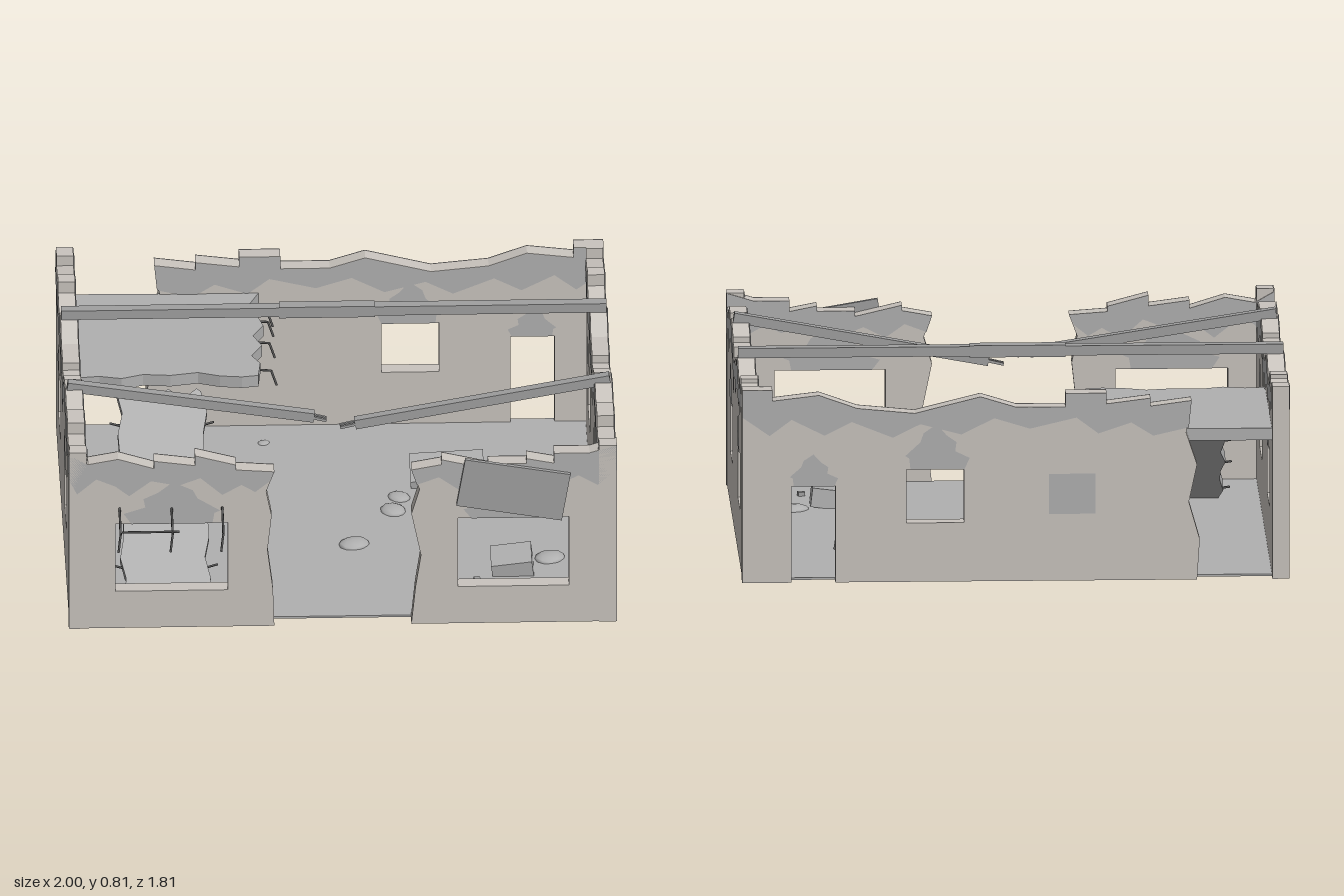
import * as THREE from 'three';

const mat = (name, color, side = THREE.FrontSide) => {
  const m = new THREE.MeshStandardMaterial({ color, side });
  m.name = name;
  return m;
};

export function createModel() {
  const root = new THREE.Group();
  root.name = 'ruinedHouse';
  const plaster = mat('plaster', 0xc9c4be);
  const bare = mat('bareConcrete', 0xb0b0b0, THREE.DoubleSide);
  const concrete = mat('concrete', 0xb0b0b0);
  const timber = mat('beamGrey', 0xa0a0a0);
  const iron = mat('iron', 0x5c5c5c);

  const add = (name, geo, material, parent = root) => {
    const m = new THREE.Mesh(geo, material);
    m.name = name;
    parent.add(m);
    return m;
  };
  const shapeOf = pts => new THREE.Shape(pts.map(p => new THREE.Vector2(p[0], p[1])));
  const rect = (a, b, c, d) => [[a, b], [c, b], [c, d], [a, d]];
  const box = (name, size, pos, material, rot = [0, 0, 0]) => {
    const m = add(name, new THREE.BoxGeometry(...size), material);
    m.position.set(...pos);
    m.rotation.set(...rot);
    return m;
  };

  // Straight bar between two points, square or round
  const bar = (name, a, b, w, material, sides = 5) => {
    const p = new THREE.Vector3(...a), q = new THREE.Vector3(...b);
    const len = p.distanceTo(q);
    const geo = sides === 4 ? new THREE.BoxGeometry(w, len, w) : new THREE.CylinderGeometry(w / 2, w / 2, len, sides);
    const m = add(name, geo, material);
    m.position.copy(p).lerp(q, 0.5);
    m.quaternion.setFromUnitVectors(new THREE.Vector3(0, 1, 0), q.sub(p).normalize());
  };
  const rod = (name, pts) => {
    for (let i = 1; i < pts.length; i++) bar(name, pts[i - 1], pts[i], 0.009, iron);
  };

  // Wall: broken outline with openings, bare patches on both faces.
  // base, top and lower run in the same direction along the wall.
  const T = 0.062;
  function wall(name, { base, top, lower, holes = [], inner = [], outer = [] }, outsideAtEnd) {
    const g = new THREE.Group();
    g.name = name;
    root.add(g);
    const s = shapeOf([...base, ...[...top].reverse()]);
    holes.forEach(h => s.holes.push(new THREE.Path(rect(...h).map(p => new THREE.Vector2(p[0], p[1])))));
    add(name + 'Body', new THREE.ExtrudeGeometry(s, { depth: T, bevelEnabled: false }), plaster, g);
    const band = [...lower, ...[...top].reverse()];
    for (const d of [-0.003, T + 0.003]) {
      const outside = (d > 0) === outsideAtEnd;
      for (const p of [band, ...inner, ...(outside ? outer : [])])
        add(name + 'BarePatch', new THREE.ShapeGeometry(shapeOf(p)), bare, g).position.z = d;
    }
    return g;
  }
  // Stepped bare patch rising from a lintel
  const spire = (c, w, y, h) => [
    [c - w * 0.42, y], [c + w * 0.4, y], [c + w * 0.42, y + h * 0.25], [c + w * 0.48, y + h * 0.3],
    [c + w * 0.25, y + h * 0.6], [c + w * 0.2, y + h * 0.8], [c, y + h], [c - w * 0.15, y + h * 0.75],
    [c - w * 0.3, y + h * 0.6], [c - w * 0.28, y + h * 0.4], [c - w * 0.5, y + h * 0.25]];

  // Front wall, two pieces either side of the breach
  wall('frontWallRight', {
    base: [[-1, 0.05], [-0.25, 0.05], [-0.255, 0.2], [-0.275, 0.36], [-0.26, 0.5], [-0.28, 0.6]],
    top: [[-1, 0.76], [-0.93, 0.72], [-0.82, 0.74], [-0.69, 0.70], [-0.69, 0.73], [-0.54, 0.71], [-0.54, 0.75],
      [-0.39, 0.71], [-0.39, 0.69], [-0.25, 0.68]],
    lower: [[-1, 0.66], [-0.97, 0.6], [-0.9, 0.66], [-0.83, 0.63], [-0.78, 0.59], [-0.7, 0.65], [-0.6, 0.63],
      [-0.52, 0.66], [-0.44, 0.59], [-0.37, 0.63], [-0.32, 0.6], [-0.27, 0.64]],
    holes: [[-0.83, 0.2, -0.42, 0.475]],
    inner: [spire(-0.62, 0.36, 0.475, 0.17)],
  }, true).position.set(0, 0, 0.685);
  wall('frontWallLeft', {
    base: [[0.28, 0.6], [0.25, 0.5], [0.285, 0.33], [0.265, 0.2], [0.25, 0.05], [1, 0.05]],
    top: [[0.25, 0.68], [0.36, 0.7], [0.36, 0.72], [0.53, 0.68], [0.53, 0.7], [0.67, 0.7], [0.67, 0.72], [0.77, 0.7],
      [0.77, 0.74], [0.9, 0.74], [1, 0.77]],
    lower: [[0.27, 0.62], [0.35, 0.65], [0.42, 0.6], [0.5, 0.64], [0.6, 0.6], [0.72, 0.65], [0.8, 0.62],
      [0.86, 0.65], [0.93, 0.61], [1, 0.67]],
    holes: [[0.42, 0.2, 0.825, 0.48]],
    inner: [spire(0.62, 0.36, 0.48, 0.15)],
  }, true).position.set(0, 0, 0.685);

  // Back wall with doorway, window and a broken end
  wall('backWall', {
    base: [[-0.62, 0.6], [-0.66, 0.48], [-0.63, 0.34], [-0.67, 0.2], [-0.66, 0.05], [0.66, 0.05], [0.66, 0.41],
      [0.82, 0.41], [0.82, 0.05], [1, 0.05]],
    top: [[-0.64, 0.72], [-0.49, 0.7], [-0.49, 0.73], [-0.33, 0.71], [-0.33, 0.75], [-0.18, 0.75], [-0.18, 0.7],
      [0, 0.7], [0.13, 0.74], [0.25, 0.71], [0.37, 0.68], [0.58, 0.7], [0.72, 0.75], [0.89, 0.73], [0.89, 0.77], [1, 0.77]],
    lower: [[-0.63, 0.62], [-0.5, 0.59], [-0.42, 0.64], [-0.3, 0.6], [-0.22, 0.66], [-0.05, 0.62], [0.08, 0.66],
      [0.2, 0.6], [0.35, 0.64], [0.45, 0.59], [0.6, 0.65], [0.7, 0.6], [0.82, 0.66], [0.9, 0.6], [1, 0.67]],
    holes: [[0.19, 0.27, 0.4, 0.47]],
    inner: [spire(0.29, 0.24, 0.47, 0.17), spire(0.74, 0.18, 0.41, 0.12)],
    outer: [rect(-0.29, 0.3, -0.12, 0.45)],
  }, false).position.set(0, 0, -0.902);

  // Side walls share one broken profile
  const side = {
    base: [[-0.902, 0.05], [0.75, 0.05]],
    top: [[-0.902, 0.77], [-0.83, 0.77], [-0.83, 0.73], [-0.69, 0.75], [-0.69, 0.765], [-0.63, 0.765], [-0.63, 0.72],
      [-0.53, 0.69], [-0.34, 0.775], [-0.24, 0.71], [-0.09, 0.71], [-0.09, 0.68], [0.03, 0.68], [0.03, 0.72],
      [0.1, 0.72], [0.1, 0.74], [0.26, 0.775], [0.39, 0.74], [0.39, 0.765], [0.5, 0.765], [0.5, 0.72], [0.69, 0.72],
      [0.69, 0.77], [0.75, 0.77]],
    lower: [[-0.902, 0.69], [-0.82, 0.66], [-0.72, 0.68], [-0.68, 0.6], [-0.6, 0.66], [-0.5, 0.62], [-0.4, 0.66],
      [-0.3, 0.64], [-0.22, 0.59], [-0.14, 0.65], [-0.08, 0.63], [-0.08, 0.565], [0.03, 0.565], [0.03, 0.62],
      [0.1, 0.66], [0.2, 0.68], [0.3, 0.69], [0.36, 0.65], [0.46, 0.6], [0.55, 0.67], [0.62, 0.6], [0.69, 0.66], [0.75, 0.68]],
    holes: [[-0.6, 0.25, -0.37, 0.46], [0.15, 0.25, 0.38, 0.46]],
    inner: [spire(-0.49, 0.2, 0.46, 0.14), spire(0.26, 0.23, 0.46, 0.16)],
  };
  for (const [name, x] of [['leftWall', 0.997], ['rightWall', -0.935]]) {
    const w = wall(name, side, x < 0);
    w.rotation.y = -Math.PI / 2;
    w.position.x = x;
  }

  // Ground floor and the remaining corner of the upper floor
  box('groundFloor', [1.88, 0.008, 1.56], [0, 0.056, -0.085], concrete);
  const upper = shapeOf([[-0.94, 0.85], [-0.94, 0.18], [-0.86, 0.19], [-0.78, 0.17], [-0.7, 0.2], [-0.6, 0.19],
    [-0.5, 0.21], [-0.42, 0.18], [-0.34, 0.17], [-0.28, 0.18], [-0.27, 0.28], [-0.3, 0.34], [-0.26, 0.42], [-0.29, 0.5],
    [-0.25, 0.58], [-0.27, 0.66], [-0.3, 0.74], [-0.26, 0.84]]);
  const slab = add('upperFloor', new THREE.ExtrudeGeometry(upper, { depth: 0.045, bevelEnabled: false }), concrete);
  slab.rotation.x = -Math.PI / 2;
  slab.position.y = 0.557;

  // Fallen slab leaning from the ground to the upper floor
  const edge = [], N = 10, L = 0.84;
  const jag = i => 0.155 + 0.011 * Math.sin(i * 2.3);
  for (let i = 0; i <= N; i++) edge.push([jag(i), (i / N) * L]);
  for (let i = 0; i <= 5; i++) edge.push([0.13 - i * 0.052, L + (i % 2 ? -0.03 : 0.012)]);
  for (let i = N; i >= 0; i--) edge.push([-jag(i + 4), (i / N) * L]);
  const lean = add('fallenSlab', new THREE.ExtrudeGeometry(shapeOf(edge), { depth: 0.04, bevelEnabled: false }), concrete);
  lean.rotation.x = -Math.acos(0.6);
  lean.position.set(-0.635, 0, 0.46);
  for (const t of [0.15, 0.42, 0.65, 0.83]) for (const s of [-1, 1]) {
    const y = t * 0.51 + 0.02, z = 0.47 - t * 0.68;
    rod('slabRebar', [[-0.635 + s * 0.14, y, z], [-0.635 + s * 0.19, y + 0.01, z - 0.01]]);
  }

  // Roof beams: one whole with a splice, one snapped in the middle
  box('backBeam', [1.99, 0.036, 0.042], [0, 0.786, -0.342], timber);
  box('beamSplice', [0.35, 0.044, 0.048], [-0.025, 0.786, -0.342], timber);
  bar('brokenBeam', [-0.99, 0.785, 0.236], [-0.09, 0.645, 0.236], 0.036, timber, 4);
  bar('brokenBeam', [0.06, 0.615, 0.236], [0.99, 0.785, 0.236], 0.036, timber, 4);
  for (const dz of [-0.01, 0.01]) {
    bar('beamSplinter', [-0.1, 0.646, 0.236 + dz], [-0.045, 0.632, 0.236 + dz], 0.01, timber, 4);
    bar('beamSplinter', [0.07, 0.617, 0.236 + dz], [0.005, 0.602, 0.236 + dz], 0.01, timber, 4);
  }

  // Loose board hanging over the front window
  box('hangingBoard', [0.39, 0.19, 0.016], [0.622, 0.603, 0.762], timber, [0, 0, -0.17]);

  // Bent awning rods and rebar in the upper floor edge
  for (const x of [-0.815, -0.625, -0.44])
    rod('awningRod', [[x, 0.54, 0.74], [x, 0.53, 0.78], [x, 0.5, 0.885], [x - 0.008, 0.435, 0.9]]);
  rod('awningCrossbar', [[-0.81, 0.505, 0.873], [-0.6, 0.505, 0.873]]);
  for (const z of [-0.75, -0.67, -0.5, -0.28])
    rod('floorRebar', [[-0.29, 0.575, z], [-0.23, 0.57, z], [-0.21, 0.51, z]]);
  rod('floorRebar', [[-0.78, 0.58, -0.215], [-0.48, 0.58, -0.215]]);

  // Rubble on the floor
  box('rubbleSlab', [0.27, 0.04, 0.19], [0.415, 0.085, -0.41], concrete, [0.12, 0, 0.05]);
  box('rubbleBlock', [0.15, 0.07, 0.14], [0.63, 0.085, 0.33], concrete, [0.1, 0, 0.12]);
  box('rubbleBrick', [0.08, 0.05, 0.055], [0.6, 0.08, -0.42], timber, [0, 0.25, 0.15]);
  box('rubbleChip', [0.022, 0.02, 0.025], [0.5, 0.065, 0.435], timber, [0, 0.2, 0]);
  box('rubbleChip', [0.025, 0.02, 0.02], [0.735, 0.065, 0.47], timber, [0, 0.2, 0]);
  for (const [x, z, r] of [[0.235, -0.25, 0.047], [0.21, -0.145, 0.055], [0.06, 0.12, 0.06], [0.77, 0.25, 0.06], [-0.245, -0.7, 0.025]]) {
    const s = add('rubbleStone', new THREE.IcosahedronGeometry(r, 1), concrete);
    s.scale.set(1, 0.35, 0.85);
    s.rotation.y = x * 9;
    s.position.set(x, 0.058, z);
  }
  return root;
}
